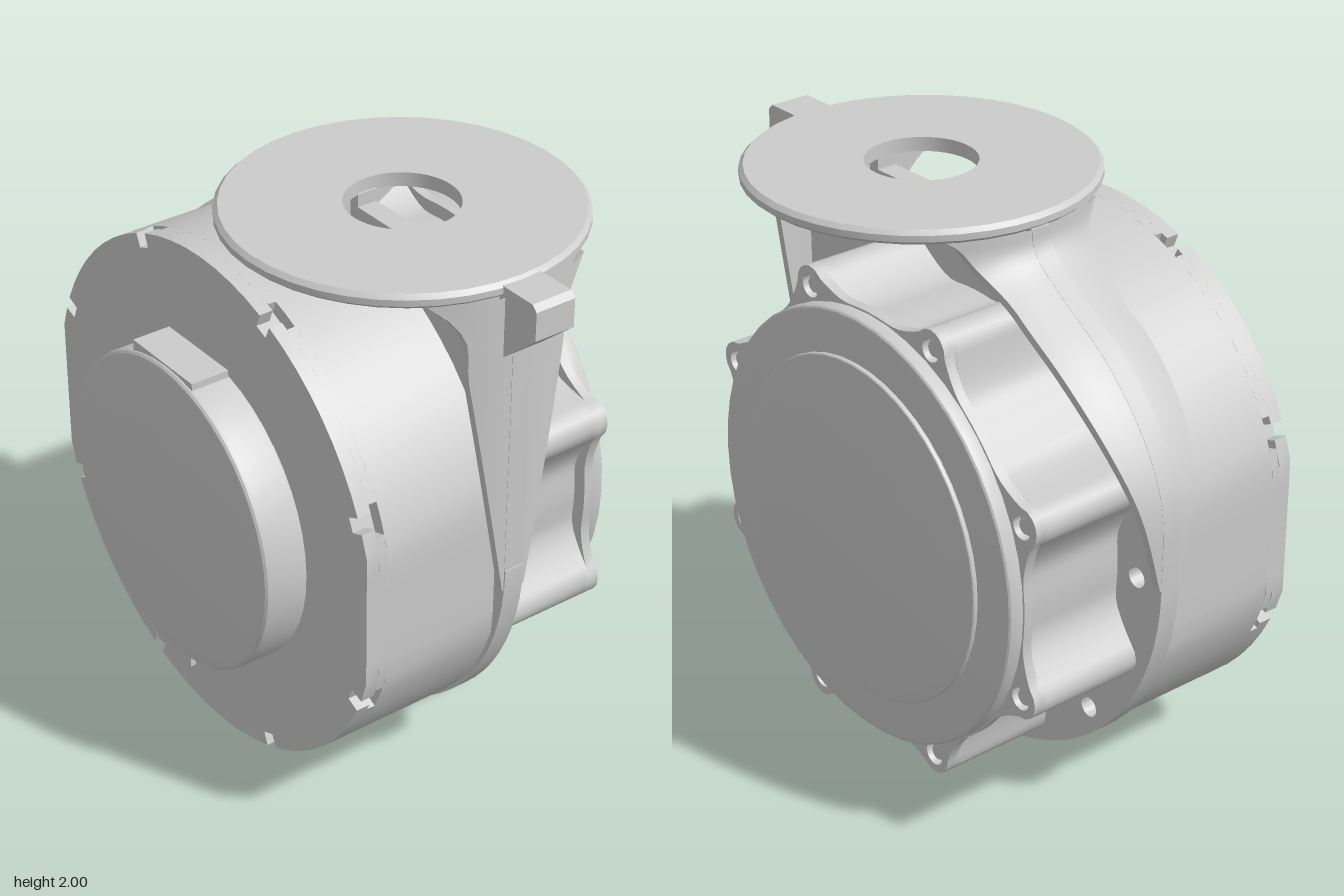
import * as THREE from 'three';
import { toCreasedNormals } from 'three/addons/utils/BufferGeometryUtils.js';

const CY = 0.93, CU = 0.06; // centre of the turning axis: y, and u = -z
const EIGHTH = Math.PI / 4;
const material = new THREE.MeshStandardMaterial({ color: 0xcccccc });
const thin = new THREE.MeshStandardMaterial({ color: 0xcccccc, side: THREE.DoubleSide });

export function createModel() {
  const model = new THREE.Group();

  const add = (name, geometry, mat = material) => {
    const mesh = new THREE.Mesh(toCreasedNormals(geometry, 0.5), mat);
    mesh.name = name;
    model.add(mesh);
    return mesh;
  };
  const polar = (r, a) => new THREE.Vector2(CU + r * Math.cos(a), CY + r * Math.sin(a));
  const hole = (u, y, r) => new THREE.Path().absarc(u, y, r, 0, Math.PI * 2, true);

  // Extrudes a (u, y) outline along x from x0 to x1
  const slab = (name, shape, x0, x1, bevel = 0) => {
    const g = new THREE.ExtrudeGeometry(shape, {
      depth: x1 - x0 - 2 * bevel, bevelEnabled: bevel > 0, bevelThickness: bevel,
      bevelSize: bevel, bevelOffset: -bevel, bevelSegments: 3, curveSegments: 16,
    });
    g.translate(0, 0, x0 + bevel);
    g.rotateY(Math.PI / 2);
    return add(name, g);
  };
  const disc = (name, r, x0, x1, bevel) =>
    slab(name, new THREE.Shape(Array.from({ length: 48 }, (_, i) => polar(r, i * Math.PI / 24))), x0, x1, bevel);

  // Rear drum: circle with flattened sides and eight T-shaped notches in its rim
  const drumShape = (notch) => {
    const pts = [], r = 0.915;
    for (let k = 0; k < 8; k++) {
      const a = (k + 0.5) * EIGHTH, h = notch / 2 / r;
      if (notch) pts.push(polar(r, a - h), polar(r - 0.05, a - h), polar(r - 0.05, a + h), polar(r, a + h));
      for (let i = notch ? 1 : 0; i < 8; i++) pts.push(polar(r, a + h + (EIGHTH - 2 * h) * i / 8));
    }
    for (const p of pts) p.x = CU + THREE.MathUtils.clamp(p.x - CU, -0.882, 0.882);
    return new THREE.Shape(pts);
  };
  slab('drumNotchedRim', drumShape(0.055), -0.51, -0.46);
  slab('drumNotchedBand', drumShape(0.11), -0.46, -0.43);
  slab('drum', drumShape(0), -0.43, 0.005);

  // Rear cap with its flat-topped connector
  disc('rearCap', 0.565, -0.67, -0.5, 0.02);
  const connector = add('rearConnector', new THREE.BoxGeometry(0.14, 0.18, 0.34));
  connector.position.set(-0.585, 1.41, 0.08 - 0.16);
  const lip = add('rearLip', new THREE.BoxGeometry(0.02, 0.04, 0.2));
  lip.position.set(-0.655, 0.365, -CU);

  // Back edge of the mounting plate, from bottom to top
  const backCurve = new THREE.CatmullRomCurve3([
    [0.985, 0.93], [0.98, 1.2], [0.94, 1.33], [0.84, 1.49], [0.69, 1.64],
    [0.5, 1.77], [0.39, 1.85], [0.355, 1.9], [0.35, 1.955],
  ].map(([u, y]) => new THREE.Vector3(u, y, 0)));
  const back = backCurve.getPoints(28);

  // Mounting plate with a slot under the flange opening and a ring of holes
  const plate = new THREE.Shape();
  plate.moveTo(-0.86, 1.955);
  plate.lineTo(-0.86, CY);
  for (let i = 0; i <= 40; i++) {
    const p = polar(0.925, Math.PI + Math.PI * i / 40);
    plate.lineTo(p.x, Math.max(p.y, 0));
  }
  back.slice(1).forEach((p) => plate.lineTo(p.x, p.y));
  for (const [u, y] of [[-0.07, 1.955], [-0.07, 1.91], [-0.44, 1.91], [-0.44, 1.955]]) plate.lineTo(u, y);
  for (let k = 0; k < 8; k++) {
    const p = polar(k % 4 === 0 ? 0.81 : 0.845, k * EIGHTH);
    plate.holes.push(hole(p.x, p.y, 0.036));
  }
  slab('mountingPlate', plate, 0.015, 0.09);

  // Tapered rim: a strip along the plate edge that widens and flares into the flange
  const flare = (y) => 0.11 * Math.pow(Math.max(0, (y - 1.78) / 0.175), 2);
  const rim = (name, path, halfWidth, side) => {
    const n = 12, pos = [], idx = [], t = 0.028;
    path.forEach((p, i) => {
      const a = path[Math.max(i - 1, 0)], b = path[Math.min(i + 1, path.length - 1)];
      const len = Math.hypot(b.x - a.x, b.y - a.y);
      const nu = -side * (b.y - a.y) / len, ny = side * (b.x - a.x) / len; // inward
      const w = halfWidth(p);
      for (let j = 0; j < 2 * (n + 1); j++) {
        const outer = j <= n;
        const x = w * ((outer ? j : 2 * n + 1 - j) / n * 2 - 1);
        const inset = 0.6 - Math.sqrt(0.36 - x * x) + (outer ? 0 : t);
        pos.push(0.055 + x, p.y + ny * inset, -(p.x + nu * inset));
      }
    });
    const m = 2 * (n + 1);
    for (let i = 0; i < path.length - 1; i++) {
      for (let j = 0; j < m; j++) {
        const a = i * m + j, b = i * m + (j + 1) % m;
        if (side > 0) idx.push(a, a + m, b, b, a + m, b + m);
        else idx.push(a, b, a + m, b, b + m, a + m);
      }
    }
    const g = new THREE.BufferGeometry();
    g.setAttribute('position', new THREE.Float32BufferAttribute(pos, 3));
    g.setIndex(idx);
    g.computeVertexNormals();
    add(name, g, thin);
  };
  const front = Array.from({ length: 25 }, (_, i) => new THREE.Vector3(-0.86, 0.85 + 1.105 * i / 24, 0));
  rim('frontRim', front, (p) => 0.045 + 0.145 * Math.min(1, (p.y - 0.85) / 0.85) + flare(p.y), -1);
  rim('backRim', back, (p) => (p.y < 1.2
    ? 0.04 + 0.07 * (p.y - 0.93) / 0.27
    : 0.11 + 0.085 * Math.sin(Math.PI / 2 * Math.min(1, (p.y - 1.2) / 0.55))) + flare(p.y), 1);

  // Round top flange with a central opening
  const ring = new THREE.LatheGeometry([
    [0.19, 1.95], [0.585, 1.95], [0.6, 1.963], [0.6, 1.985], [0.585, 2], [0.19, 2], [0.19, 1.95],
  ].map(([r, y]) => new THREE.Vector2(r, y)), 40);
  ring.translate(0.055, 0, 0.25);
  add('topFlange', ring);

  // Gussets under the flange
  for (const [z, low, reach] of [[0.505, 1.68, 0.3], [0.01, 1.85, 0.2]]) {
    const s = new THREE.Shape();
    s.moveTo(-reach, 1.955);
    s.quadraticCurveTo(-0.12, 1.9, -0.03, low);
    s.lineTo(0.03, low);
    s.quadraticCurveTo(0.12, 1.9, reach, 1.955);
    const g = new THREE.ExtrudeGeometry(s, { depth: 0.04, bevelEnabled: false });
    g.translate(0.055, 0, z - 0.02);
    add('flangeGusset', g);
  }

  // Front tab
  slab('frontTab', new THREE.Shape([
    [-0.82, 1.73], [-0.86, 1.75], [-1, 1.87], [-1, 1.97], [-0.98, 1.99], [-0.82, 1.99],
  ].map(([u, y]) => new THREE.Vector2(u, y))), -0.02, 0.13);

  // Side housing: round body with eight filleted screw lobes
  const lobedShape = (base, boltHole) => {
    const pts = [], R = 0.81, r = 0.07;
    const steps = [-0.27, -0.23, -0.19, -0.15, -0.11, -0.08, -0.06, -0.03, 0, 0.03, 0.06, 0.08, 0.11, 0.15, 0.19, 0.23, 0.27, 0.33, 0.39, 0.45];
    for (let k = 0; k < 8; k++) {
      for (const s of steps) {
        const d = Math.abs(s);
        const radius = d <= 0.08
          ? R * Math.cos(d) + Math.sqrt(r * r - (R * Math.sin(d)) ** 2)
          : base + (0.833 - base) * Math.max(0, 1 - (d - 0.08) / 0.19) ** 2;
        pts.push(polar(radius, (k + 0.5) * EIGHTH + s));
      }
    }
    const shape = new THREE.Shape(pts);
    for (let k = 0; boltHole && k < 8; k++) {
      const p = polar(R, (k + 0.5) * EIGHTH);
      shape.holes.push(hole(p.x, p.y, boltHole));
    }
    return shape;
  };
  slab('sideHousing', lobedShape(0.72, 0), 0.08, 0.475);
  slab('housingFlange', lobedShape(0.765, 0.04), 0.485, 0.52);
  slab('housingSeam', lobedShape(0.715, 0), 0.47, 0.49);
  disc('sideCap', 0.76, 0.51, 0.575, 0.015);
  disc('sideCover', 0.605, 0.57, 0.593, 0.008);

  // Screws in the lobes
  for (let k = 0; k < 8; k++) {
    const p = polar(0.81, (k + 0.5) * EIGHTH);
    const screw = add('lobeScrew', new THREE.CylinderGeometry(0.027, 0.027, 0.04, 16));
    screw.rotation.z = Math.PI / 2;
    screw.position.set(0.487, p.y, -p.x);
  }

  // Raised pad on the front of the housing
  const pad = add('housingPad', new THREE.BoxGeometry(0.14, 0.25, 0.04));
  pad.position.set(0.21, 0.945, 0.645);

  return model;
}
